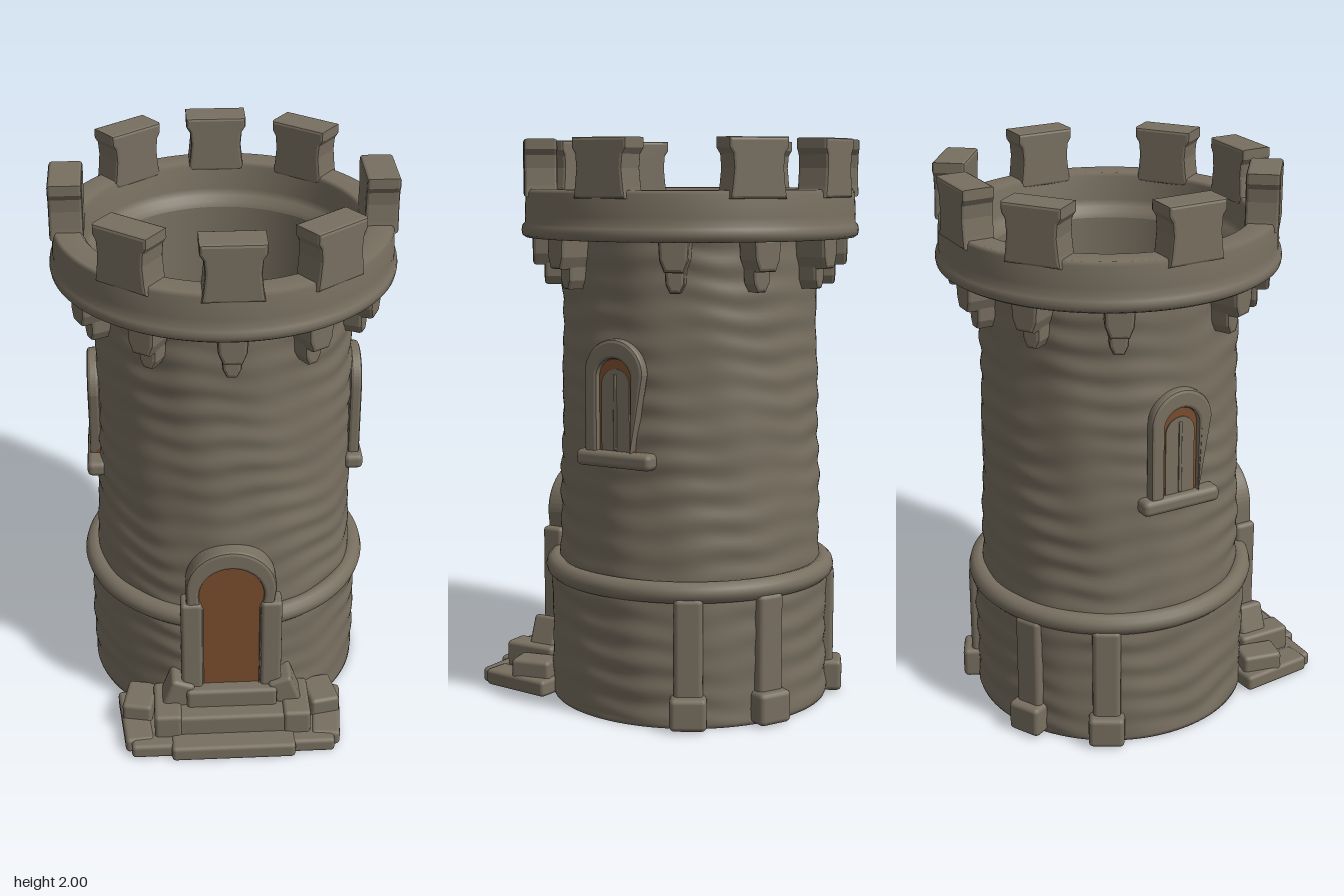
import * as THREE from 'three';
import { mergeVertices } from 'three/addons/utils/BufferGeometryUtils.js';
import { RoundedBoxGeometry } from 'three/addons/geometries/RoundedBoxGeometry.js';

const stone = new THREE.MeshStandardMaterial({ color: 0x786f60 });
stone.name = 'stone';
const wood = new THREE.MeshStandardMaterial({ color: 0x7b4e2f });
wood.name = 'wood';

const rad = THREE.MathUtils.degToRad;
const v2 = (x, y) => new THREE.Vector2(x, y);

function add(parent, name, geometry, material = stone) {
  const mesh = new THREE.Mesh(geometry, material);
  mesh.name = name;
  parent.add(mesh);
  return mesh;
}

// Group turned about the tower axis; its local +z points outward
function around(parent, name, degrees) {
  const g = new THREE.Group();
  g.name = name;
  g.rotation.y = rad(degrees);
  parent.add(g);
  return g;
}

// Rounded block given by its limits
function block(parent, name, [x0, x1], [y0, y1], [z0, z1], r = 0.015) {
  const m = add(parent, name, new RoundedBoxGeometry(x1 - x0, y1 - y0, z1 - z0, 2, r));
  m.position.set((x0 + x1) / 2, (y0 + y1) / 2, (z0 + z1) / 2);
  return m;
}

// Bevelled plate between two depths, keeping the outline of the shape
function plate(shape, z0, z1, bevel = 0.012) {
  const geo = new THREE.ExtrudeGeometry(shape, {
    depth: z1 - z0 - 2 * bevel, bevelEnabled: bevel > 0, bevelThickness: bevel,
    bevelSize: bevel, bevelOffset: -bevel, bevelSegments: 2, curveSegments: 16,
  });
  return geo.translate(0, 0, z0 + bevel);
}

// Filled arch: straight sides, then a round head that may be wider than the sides
function arch(half, bottom, spring, radius = half) {
  const s = new THREE.Shape();
  const a = Math.acos(half / radius);
  s.moveTo(-half, bottom);
  s.lineTo(half, bottom);
  s.absarc(0, spring, radius, -a, Math.PI + a, false);
  return s;
}

// Arched surround, open at the bottom, as one horseshoe outline
function horseshoe(outer, outerSpring, bottom, half, spring, radius = half) {
  const s = new THREE.Shape();
  const a = Math.acos(half / radius);
  s.moveTo(outer, bottom);
  s.absarc(0, outerSpring, outer, 0, Math.PI, false);
  s.lineTo(-outer, bottom);
  s.lineTo(-half, bottom);
  s.absarc(0, spring, radius, Math.PI + a, -a, true);
  s.lineTo(half, bottom);
  return s;
}

// Uneven stone courses
function courses(t, y) {
  const wave = y + 0.014 * Math.sin(3 * t + y * 4) + 0.008 * Math.sin(8 * t + y * 9);
  const fade = 0.65 + 0.35 * Math.sin(4 * t + 7 * y);
  return 0.0038 * fade * Math.sin(wave * 64) + 0.004 * Math.sin(5 * t + 11 * y) * Math.sin(7 * t - 6 * y);
}

function wallGeometry() {
  const pts = [];
  const n = 130;
  for (let i = 0; i <= n; i++) {
    const y = (i / n) * 1.67;
    pts.push(v2(y < 0.46 ? 0.502 : 0.473 - 0.018 * Math.min(1, (y - 0.46) / 0.9), y));
  }
  const outerCount = pts.length;
  pts.push(v2(0.44, 1.67), v2(0.44, 0.5), v2(0.452, 0.42), v2(0.457, 0), v2(0.502, 0));
  let geo = new THREE.LatheGeometry(pts, 128);
  const p = geo.attributes.position;
  for (let i = 0; i < p.count; i++) {
    const row = i % pts.length;
    if (row === 0 || row >= outerCount) continue;
    const x = p.getX(i), y = p.getY(i), z = p.getZ(i);
    const k = 1 + courses(Math.atan2(x, z), y) / Math.hypot(x, z);
    p.setXYZ(i, x * k, y, z * k);
  }
  geo.deleteAttribute('uv');
  geo.deleteAttribute('normal');
  geo = mergeVertices(geo, 1e-5);
  geo.computeVertexNormals();
  return geo;
}

export function createModel() {
  const model = new THREE.Group();
  model.name = 'tower';
  const tower = new THREE.Group();
  tower.name = 'towerBody';
  tower.position.z = -0.055;
  model.add(tower);

  // Round wall, and a belt that stops at the door jambs
  add(tower, 'wall', wallGeometry());
  const gap = 0.29;
  const beltGeo = new THREE.TorusGeometry(0.488, 0.038, 12, 96, 2 * Math.PI - 2 * gap);
  const belt = add(tower, 'belt', beltGeo.rotateZ(Math.PI / 2 + gap).rotateX(Math.PI / 2));
  belt.position.y = 0.475;

  // Parapet ring with a rounded lip below
  const ring = [[0.44, 1.66], [0.585, 1.66], [0.597, 1.668], [0.6, 1.685], [0.597, 1.702],
    [0.588, 1.712], [0.588, 1.74], [0.584, 1.815], [0.576, 1.828], [0.495, 1.828],
    [0.484, 1.815], [0.478, 1.73], [0.47, 1.705], [0.447, 1.69], [0.44, 1.66]];
  add(tower, 'parapet', new THREE.LatheGeometry(ring.map(([x, y]) => v2(x, y)), 96));

  // Merlons flaring to the top
  const side = [[0.102, 1.8], [0.096, 1.84], [0.09, 1.9], [0.094, 1.945], [0.107, 1.965], [0.107, 2]];
  const merlonShape = new THREE.Shape([
    ...side.map(([x, y]) => v2(x, y)),
    ...side.slice().reverse().map(([x, y]) => v2(-x, y)),
  ]);
  const merlon = plate(merlonShape, 0.474, 0.59, 0.01);
  for (const a of [0, 37, 90, 143, 180, 217, 270, 323]) {
    add(around(tower, 'merlonMount', a), 'merlon', merlon);
  }

  // Stepped corbels below the parapet
  const upper = new THREE.Shape([v2(-0.052, 1.67), v2(-0.048, 1.6), v2(-0.032, 1.56),
    v2(0.032, 1.56), v2(0.048, 1.6), v2(0.052, 1.67)]);
  const lower = new THREE.Shape([v2(-0.036, 1.6), v2(-0.032, 1.52), v2(-0.017, 1.49),
    v2(0.017, 1.49), v2(0.032, 1.52), v2(0.036, 1.6)]);
  const corbelTop = plate(upper, 0.445, 0.56);
  const corbelTip = plate(lower, 0.445, 0.52);
  for (const a of [0, 32, 65, 115, 148, 180, 212, 245, 295, 328]) {
    const g = around(tower, 'corbel', a);
    add(g, 'corbelTop', corbelTop);
    add(g, 'corbelTip', corbelTip);
  }

  // Windows on both sides
  for (const s of [-1, 1]) {
    const g = around(tower, 'window', 90 * s);
    g.position.z = 0.015;
    add(g, 'windowFrame', plate(horseshoe(0.118, 1.212, 0.93, 0.066, 1.197), 0.445, 0.488));
    add(g, 'windowShutter', plate(arch(0.072, 0.94, 1.197), 0.41, 0.468, 0.006), wood);
    add(g, 'shutterFace', plate(arch(0.056, 0.942, 1.172), 0.465, 0.472, 0));
    block(g, 'shutterRib', [-0.006, 0.006], [0.95, 1.21], [0.466, 0.478], 0.003);
    block(g, 'windowSill', [-0.15, 0.15], [0.89, 0.947], [0.43, 0.5], 0.02);
  }

  // Door with arched surround
  const door = around(tower, 'door', 0);
  add(door, 'doorSurround', plate(horseshoe(0.162, 0.63, 0.19, 0.1, 0.605, 0.115), 0.44, 0.525));
  add(door, 'doorPanel', plate(arch(0.106, 0.2, 0.605, 0.121), 0.432, 0.514, 0.005), wood);
  for (const s of [-1, 1]) {
    const x = s > 0 ? [0.105, 0.182] : [-0.182, -0.105];
    block(door, 'doorJamb', x, [0.12, 0.575], [0.45, 0.533]);
  }

  // Buttresses with foot blocks around the back
  for (const a of [120, 153, 207, 240]) {
    const g = around(tower, 'buttress', a);
    block(g, 'buttressShaft', [-0.05, 0.05], [0.02, 0.46], [0.465, 0.528], 0.018);
    block(g, 'buttressFoot', [-0.064, 0.064], [0.005, 0.12], [0.465, 0.56], 0.018);
  }

  // Front stairs
  const stairs = new THREE.Group();
  stairs.name = 'stairs';
  model.add(stairs);
  block(stairs, 'bottomStep', [-0.225, 0.225], [0, 0.06], [0.4, 0.65]);
  block(stairs, 'middleStep', [-0.2, 0.2], [0.01, 0.135], [0.4, 0.57]);
  block(stairs, 'topStep', [-0.165, 0.165], [0.02, 0.205], [0.4, 0.51]);
  for (const s of [-1, 1]) {
    const span = (a, b) => (s > 0 ? [a, b] : [-b, -a]);
    block(stairs, 'landing', span(0.15, 0.37), [0, 0.055], [0.38, 0.625]);
    block(stairs, 'outerSlab', span(0.3, 0.405), [0, 0.06], [0.31, 0.59]).rotation.y = -0.1 * s;
    block(stairs, 'cheekBlock', span(0.185, 0.285), [0.01, 0.145], [0.37, 0.575]);
    const slope = block(stairs, 'cheekSlope', span(0.155, 0.245), [0.08, 0.235], [0.385, 0.495]);
    slope.rotation.z = 0.35 * s;
    block(stairs, 'sideBlock', span(0.28, 0.39), [0.005, 0.12], [0.33, 0.48]).rotation.y = 0.2 * s;
  }
  return model;
}
